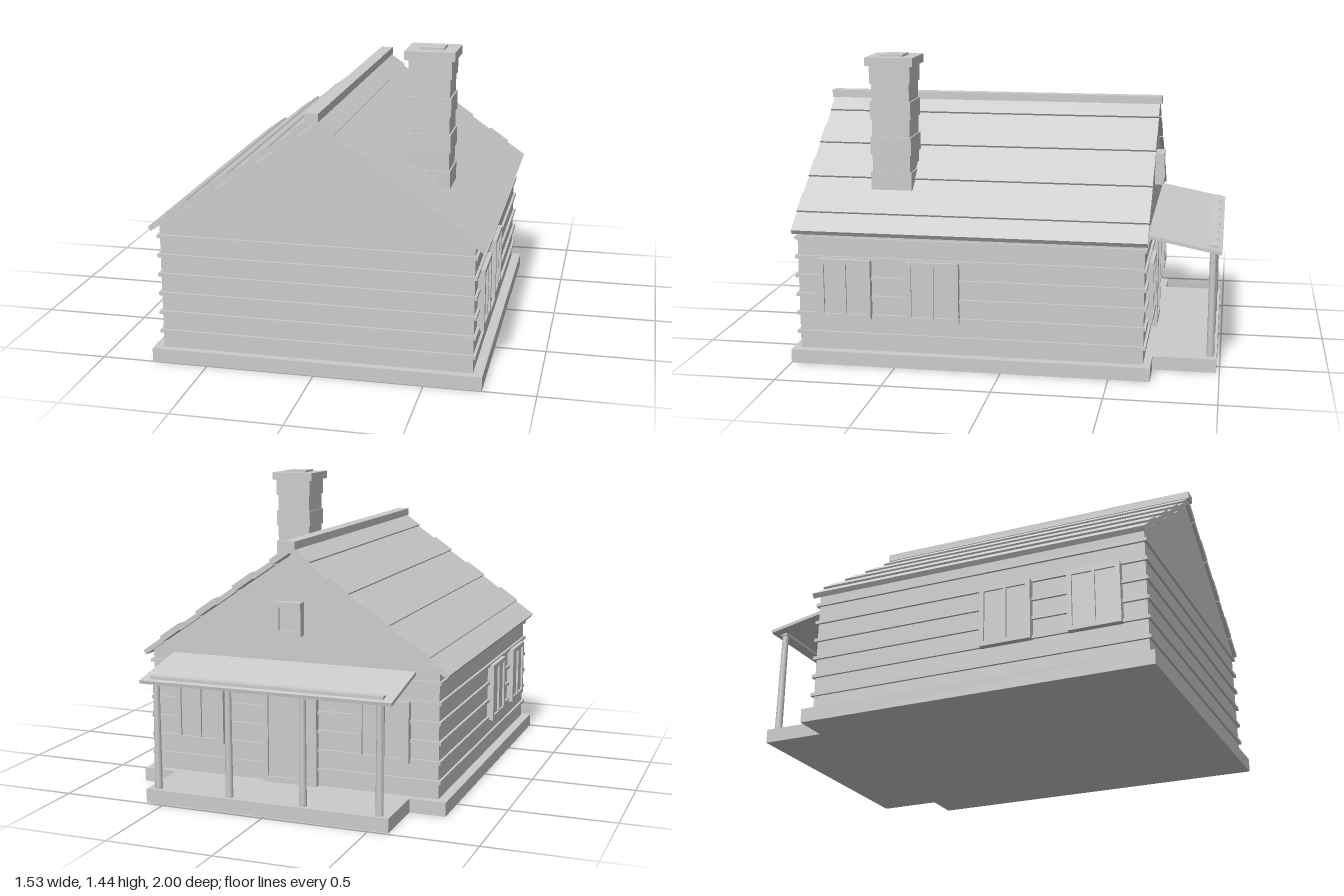
import * as THREE from 'three';

const material = new THREE.MeshStandardMaterial({ color: 0xcccccc });

export function createModel() {
  const cabin = new THREE.Group();
  cabin.name = 'cabin';

  const add = (parent, name, geometry, x = 0, y = 0, z = 0) => {
    const mesh = new THREE.Mesh(geometry, material);
    mesh.name = name;
    mesh.position.set(x, y, z);
    parent.add(mesh);
    return mesh;
  };
  // Box given by its lower and upper limits on each axis
  const box = (parent, name, x0, x1, y0, y1, z0, z1) =>
    add(parent, name, new THREE.BoxGeometry(x1 - x0, y1 - y0, z1 - z0),
      (x0 + x1) / 2, (y0 + y1) / 2, (z0 + z1) / 2);
  const group = (name) => {
    const g = new THREE.Group();
    g.name = name;
    cabin.add(g);
    return g;
  };
  const rect = (PathType, x0, x1, y0, y1) => new PathType([
    new THREE.Vector2(x0, y0), new THREE.Vector2(x1, y0),
    new THREE.Vector2(x1, y1), new THREE.Vector2(x0, y1)]);

  // Framed opening, centred on x and y, with its back on z = 0 and facing +z
  const framedOpening = (name, w, h, border, panes, depth) => {
    const g = group(name);
    const shape = rect(THREE.Shape, -w / 2, w / 2, -h / 2, h / 2);
    const bar = 0.012;
    const paneW = (w - 2 * border - (panes - 1) * bar) / panes;
    for (let i = 0; i < panes; i++) {
      const x0 = -w / 2 + border + i * (paneW + bar);
      shape.holes.push(rect(THREE.Path, x0, x0 + paneW, -h / 2 + border, h / 2 - border));
    }
    add(g, 'frame', new THREE.ExtrudeGeometry(shape, { depth, bevelEnabled: false }));
    box(g, 'pane', -w / 2 + border / 2, w / 2 - border / 2,
      -h / 2 + border / 2, h / 2 - border / 2, 0, depth - 0.01);
    return g;
  };

  // Foundation and porch floor
  box(cabin, 'foundation', -0.76, 0.76, 0, 0.065, -0.69, 1);
  box(cabin, 'porchFloor', -0.59, 0.59, 0, 0.065, -0.985, -0.69);

  // Log walls with a projecting strip at each joint
  const walls = group('walls');
  box(walls, 'wallBody', -0.715, 0.715, 0.065, 0.655, -0.655, 0.965);
  for (let i = 0; i < 6; i++) {
    const y = 0.144 + i * 0.0912;
    box(walls, 'logStrip', -0.727, 0.727, y - 0.008, y + 0.008, -0.667, 0.977);
  }

  // Gable prism
  const gable = new THREE.Shape([
    new THREE.Vector2(-0.715, 0.65), new THREE.Vector2(0.715, 0.65), new THREE.Vector2(0, 1.14)]);
  add(cabin, 'gable', new THREE.ExtrudeGeometry(gable, { depth: 1.62, bevelEnabled: false }), 0, 0, -0.655);

  // Roof: alternating raised and lowered boards down both slopes
  const roof = group('roof');
  const angle = Math.atan(0.692);
  const rows = 8;
  const rowW = 0.765 / rows / Math.cos(angle);
  for (const side of [-1, 1]) {
    const slope = new THREE.Group();
    slope.name = side > 0 ? 'leftSlope' : 'rightSlope';
    slope.position.y = 1.174;
    slope.rotation.z = -side * angle;
    roof.add(slope);
    for (let i = 0; i < rows; i++) {
      const lift = i % 2 ? 0 : 0.01;
      const a = side * i * rowW, b = side * (i + 1) * rowW;
      box(slope, 'roofBoard', Math.min(a, b), Math.max(a, b), -0.024 + lift / 2, lift, -0.67, 0.98);
    }
  }
  box(roof, 'ridgeCap', -0.031, 0.031, 1.168, 1.205, -0.68, 0.99);

  // Chimney of alternating courses
  const chimney = group('chimney');
  for (let i = 0; i < 7; i++) {
    const r = i % 2 ? 0.09 : 0.097;
    const y = 0.805 + i * 0.0836;
    box(chimney, 'course', 0.455 - r, 0.455 + r, y, y + 0.0836, 0.552 - r, 0.552 + r);
  }
  box(chimney, 'cap', 0.34, 0.568, 1.39, 1.43, 0.438, 0.666);
  box(chimney, 'flue', 0.4, 0.51, 1.43, 1.44, 0.497, 0.607);

  // Porch roof, beam and posts
  const porch = group('porch');
  const porchRoof = add(porch, 'porchRoof', new THREE.BoxGeometry(1.21, 0.016, 0.345), 0, 0.606, -0.827);
  porchRoof.rotation.x = -Math.atan(0.065 / 0.335);
  box(porch, 'beam', -0.56, 0.56, 0.565, 0.6, -0.975, -0.937);
  for (const x of [-0.54, -0.18, 0.18, 0.54])
    add(porch, 'post', new THREE.CylinderGeometry(0.015, 0.018, 0.51, 10), x, 0.32, -0.956);

  // Side windows
  for (const side of [-1, 1])
    for (const z of [0.735, 0.318]) {
      const w = framedOpening('sideWindow', 0.245, 0.285, 0.022, 2, 0.035);
      w.position.set(side * 0.712, 0.367, z);
      w.rotation.y = side * Math.PI / 2;
    }

  // Back windows, door and attic window
  const onBack = (opening, x, y) => {
    opening.position.set(x, y, -0.653);
    opening.rotation.y = Math.PI;
  };
  for (const x of [-0.46, 0.46])
    onBack(framedOpening('backWindow', 0.245, 0.285, 0.022, 2, 0.035), x, 0.367);
  onBack(framedOpening('door', 0.27, 0.5, 0.026, 1, 0.03), 0, 0.315);
  onBack(framedOpening('atticWindow', 0.13, 0.155, 0.022, 1, 0.045), 0, 0.85);

  return cabin;
}
